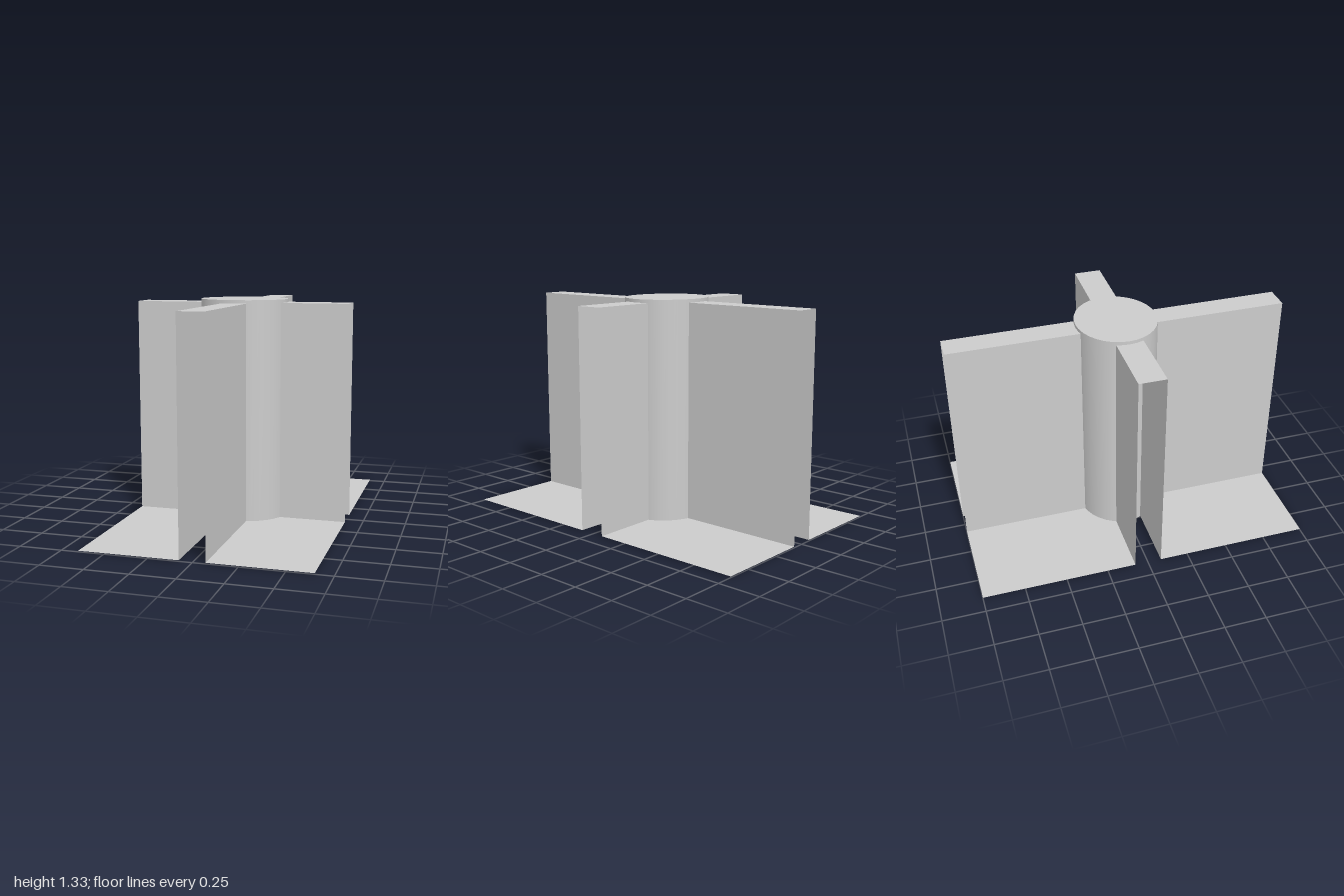
import * as THREE from 'three';

const HALF_X = 0.65, HALF_Z = 1;        // footprint
const GAP_X = 0.074, GAP_Z = 0.08;      // half thickness of the hollow wings
const FLOOR = 0.006, TOP = 1.305;       // sheet heights

const sheet = new THREE.MeshStandardMaterial({ color: 0xcccccc, side: THREE.DoubleSide });

// Flat quad spanned by two edge vectors from a corner; normal is u x v
function panel(name, corner, u, v) {
  const o = new THREE.Vector3(...corner), a = new THREE.Vector3(...u), b = new THREE.Vector3(...v);
  const pts = [o, o.clone().add(a), o.clone().add(a).add(b), o.clone().add(b)];
  const geo = new THREE.BufferGeometry().setFromPoints(pts);
  geo.setIndex([0, 1, 2, 0, 2, 3]);
  geo.computeVertexNormals();
  const mesh = new THREE.Mesh(geo, sheet);
  mesh.name = name;
  return mesh;
}

export function createModel() {
  const model = new THREE.Group();
  model.name = 'crossWithCentralColumn';
  const h = TOP - FLOOR;

  // Four corner bays: a floor plate and the two wing walls rising from it
  for (const sx of [-1, 1]) for (const sz of [-1, 1]) {
    const bay = new THREE.Group();
    bay.name = `${sz > 0 ? 'front' : 'back'}${sx > 0 ? 'Left' : 'Right'}Bay`;
    const corner = [sx * GAP_X, FLOOR, sz * GAP_Z];
    const alongX = [sx * (HALF_X - GAP_X), 0, 0];
    const alongZ = [0, 0, sz * (HALF_Z - GAP_Z)];
    const up = [0, h, 0];
    const same = sx * sz > 0;
    bay.add(
      panel('floorPlate', corner, same ? alongZ : alongX, same ? alongX : alongZ),
      panel('sideWingWall', corner, same === (sx > 0) && sz > 0 || !same && sx < 0 ? alongX : up,
        same === (sx > 0) && sz > 0 || !same && sx < 0 ? up : alongX),
      panel('longWingWall', corner, sx > 0 === sz > 0 && sx > 0 || sx > 0 !== sz > 0 && sx < 0 ? up : alongZ,
        sx > 0 === sz > 0 && sx > 0 || sx > 0 !== sz > 0 && sx < 0 ? alongZ : up),
    );
    model.add(bay);
  }

  // Top strips closing the wings; their ends and undersides stay open
  for (const s of [-1, 1]) {
    const zStart = s > 0 ? GAP_Z : -HALF_Z;
    model.add(panel('longWingTop', [-GAP_X, TOP, zStart], [0, 0, HALF_Z - GAP_Z], [2 * GAP_X, 0, 0]));
    const xStart = s > 0 ? GAP_X : -HALF_X;
    model.add(panel('sideWingTop', [xStart, TOP, -GAP_Z], [0, 0, 2 * GAP_Z], [HALF_X - GAP_X, 0, 0]));
  }

  // Slightly oval column through the crossing, a little proud of the wings
  const columnGeo = new THREE.CylinderGeometry(1, 1, 1.325, 32);
  columnGeo.scale(0.265, 1, 0.239);
  const column = new THREE.Mesh(columnGeo, new THREE.MeshStandardMaterial({ color: 0xcccccc }));
  column.name = 'centralColumn';
  column.position.set(0.003, 1.325 / 2, -0.008);
  model.add(column);

  return model;
}
